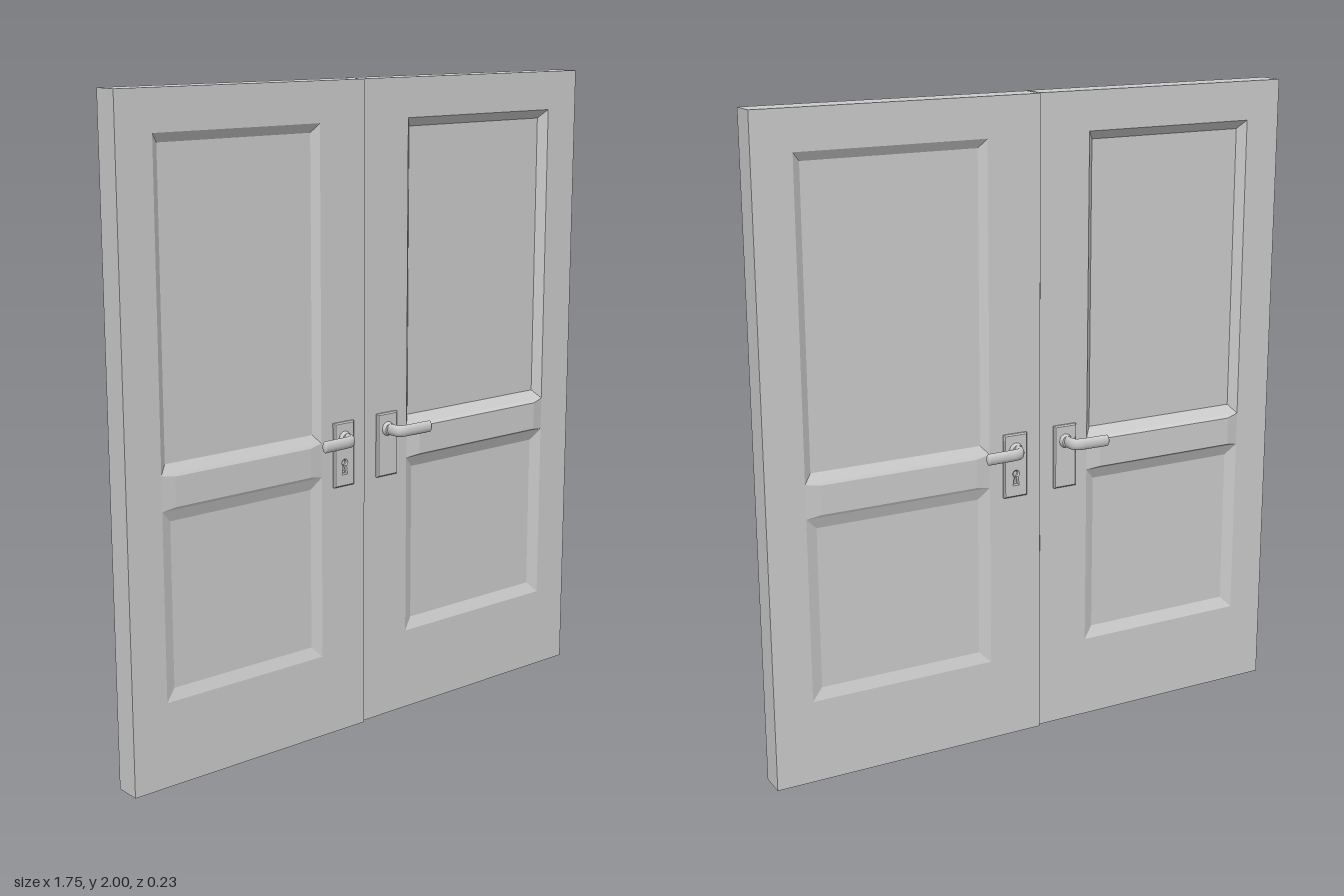
import * as THREE from 'three';

const material = new THREE.MeshStandardMaterial({ color: 0xcccccc });
const FRONT = 0.036, BACK = 0.046; // slab faces, measured from the door's z = 0
const X0 = -0.0185, X1 = 0.872; // slab edges
const PX0 = 0.155, PX1 = 0.75; // panel edges
const UPPER = [0.935, 1.88], LOWER = [0.26, 0.83];

function add(parent, name, geometry) {
  const mesh = new THREE.Mesh(geometry, material);
  mesh.name = name;
  parent.add(mesh);
  return mesh;
}

function rectangle(PathType, x0, y0, x1, y1) {
  return new PathType().setFromPoints([
    [x0, y0], [x1, y0], [x1, y1], [x0, y1],
  ].map(([x, y]) => new THREE.Vector2(x, y)));
}

// Four sloped sides and a flat face: sunk when dz < 0, raised when dz > 0
function bevelledPanel(x0, y0, x1, y1, insetX, insetY, z, dz) {
  const ring = (ix, iy, h) => [
    [x0 + ix, y0 + iy, h], [x1 - ix, y0 + iy, h], [x1 - ix, y1 - iy, h], [x0 + ix, y1 - iy, h],
  ];
  const outer = ring(0, 0, z), inner = ring(insetX, insetY, z + dz);
  const positions = [];
  const quad = (a, b, c, d) => positions.push(...a, ...b, ...c, ...a, ...c, ...d);
  for (let i = 0; i < 4; i++) {
    const j = (i + 1) % 4;
    quad(outer[i], outer[j], inner[j], inner[i]);
  }
  quad(...inner);
  const geometry = new THREE.BufferGeometry();
  geometry.setAttribute('position', new THREE.Float32BufferAttribute(positions, 3));
  geometry.computeVertexNormals();
  return geometry;
}

// Lock plate, lever and its collar; dir is the way the lever points
function hardware(z, stemX, dir, keyhole) {
  const group = new THREE.Group();
  group.name = 'handleSet';
  group.position.set(stemX, 0.94, z);

  const plate = rectangle(THREE.Shape, -0.036, -0.146, 0.036, 0.046);
  if (keyhole) {
    const hole = new THREE.Path();
    hole.absarc(0, -0.076, 0.012, -Math.PI * 0.3, Math.PI * 1.3, false);
    hole.lineTo(-0.011, -0.113);
    hole.lineTo(0.011, -0.113);
    hole.closePath();
    plate.holes.push(hole);
  }
  add(group, 'lockPlate', new THREE.ExtrudeGeometry(plate, {
    depth: 0.006, bevelThickness: 0.004, bevelSize: 0.004, bevelSegments: 1, curveSegments: 8,
  }));

  const collar = add(group, 'collar', new THREE.CylinderGeometry(0.018, 0.023, 0.014, 20));
  collar.rotation.x = Math.PI / 2;
  collar.position.z = 0.015;

  // Lever bends away from the stem and runs sideways
  const reach = 0.104 - z;
  const path = new THREE.CurvePath();
  const v = (x, zz) => new THREE.Vector3(x * dir, 0, zz);
  path.add(new THREE.LineCurve3(v(0, 0), v(0, reach - 0.028)));
  path.add(new THREE.CubicBezierCurve3(
    v(0, reach - 0.028), v(0, reach - 0.008), v(0.01, reach - 0.004), v(0.03, reach - 0.002)));
  path.add(new THREE.LineCurve3(v(0.03, reach - 0.002), v(0.118, reach)));
  const lever = add(group, 'lever', new THREE.TubeGeometry(path, 30, 0.011, 14));
  lever.scale.y = 1.65;
  const tip = add(group, 'leverTip', new THREE.SphereGeometry(0.011, 14, 10));
  tip.position.copy(v(0.118, reach));
  tip.scale.set(0.6, 1.65, 1);
  return group;
}

// One side of a door: sunk panels, raised middle rail and handle
function doorFace(name, dir, z, style) {
  const face = new THREE.Group();
  face.name = name;
  const [x0, x1] = dir > 0 ? [PX0, PX1] : [-PX1, -PX0];
  add(face, 'upperPanel', bevelledPanel(x0, UPPER[0], x1, UPPER[1], 0.024, 0.027, z, -style.upper));
  add(face, 'lowerPanel', bevelledPanel(x0, LOWER[0], x1, LOWER[1], 0.035, 0.035, z, -style.lower));
  add(face, 'middleRail', bevelledPanel(x0, LOWER[1], x1, UPPER[0], 0.045, 0.008, z, style.rail));
  face.add(hardware(z, 0.07 * dir, dir, style.keyhole));
  return face;
}

function createDoor(name) {
  const door = new THREE.Group();
  door.name = name;

  // Slab with the two panel openings
  const slab = rectangle(THREE.Shape, X0, 0, X1, 2);
  for (const [y0, y1] of [UPPER, LOWER]) {
    slab.holes.push(rectangle(THREE.Path, PX0, y0, PX1, y1));
  }
  const frame = add(door, 'doorFrame',
    new THREE.ExtrudeGeometry(slab, { depth: FRONT + BACK, bevelEnabled: false }));
  frame.position.z = -BACK;

  door.add(doorFace('outerFace', 1, FRONT,
    { upper: 0.024, lower: 0.016, rail: 0.011, keyhole: false }));
  const inner = doorFace('innerFace', -1, BACK,
    { upper: 0.016, lower: 0.012, rail: 0.004, keyhole: true });
  inner.rotation.y = Math.PI;
  door.add(inner);
  return door;
}

export function createModel() {
  const model = new THREE.Group();
  model.name = 'doubleDoor';
  model.add(createDoor('leftDoor'));

  // The other leaf is the same door turned round and slightly narrower
  const right = createDoor('rightDoor');
  right.rotation.y = Math.PI;
  right.scale.x = 0.958;
  right.position.x = -0.042;
  model.add(right);
  return model;
}
